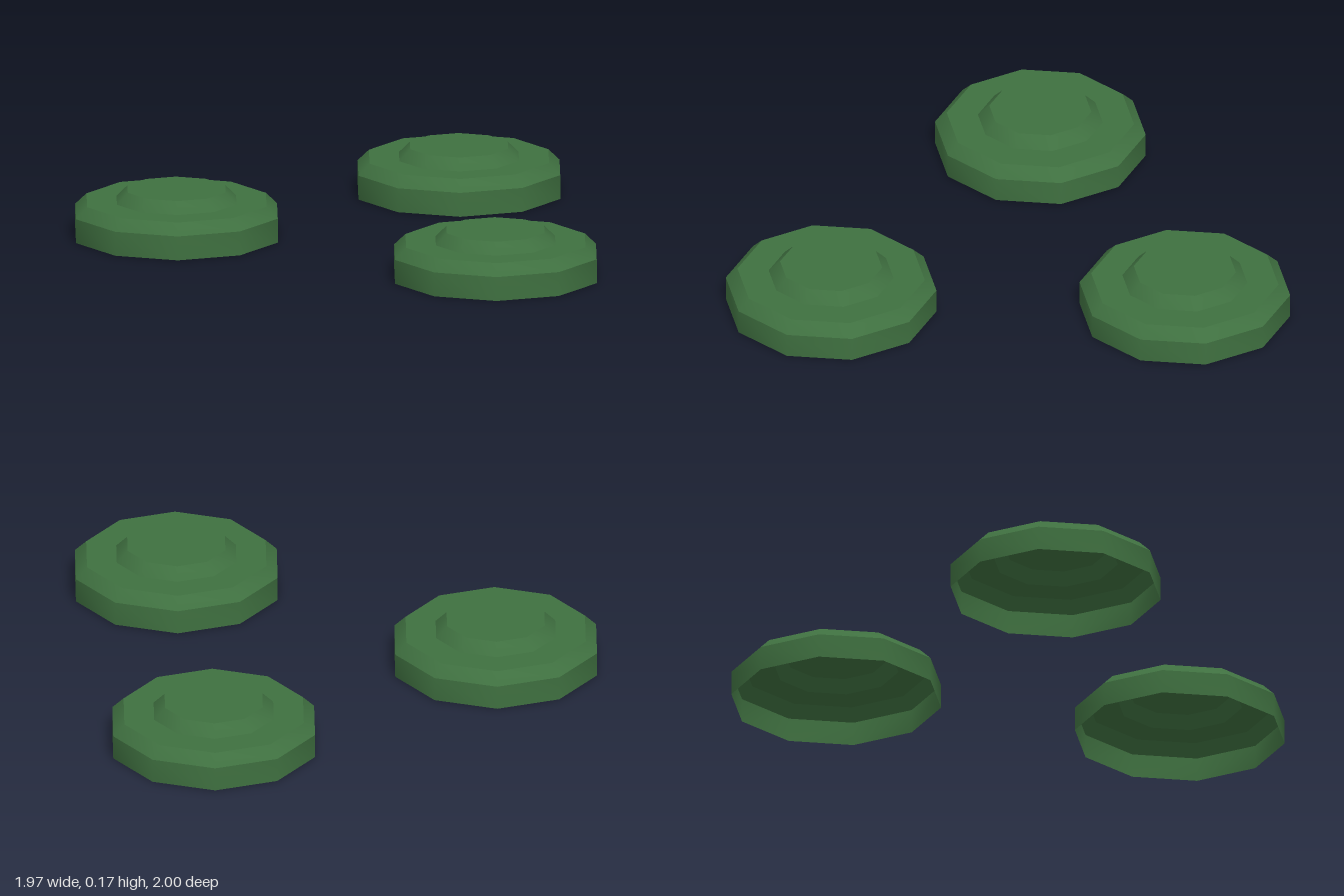
import * as THREE from 'three';
import { toCreasedNormals } from 'three/addons/utils/BufferGeometryUtils.js';

export function createModel() {
  const group = new THREE.Group();
  group.name = 'lilyPads';
  const green = new THREE.MeshStandardMaterial({ color: 0x3f7040, side: THREE.DoubleSide });

  // Stepped ten-sided shell, open underneath, with a corner on each side in x
  const profile = [
    [0.388, 0], [0.388, 0.09], [0.345, 0.132], [0.23, 0.132], [0.188, 0.174], [0, 0.174],
  ].map(([r, y]) => new THREE.Vector2(r, y));
  const lathe = new THREE.LatheGeometry(profile, 10, Math.PI / 2);
  // Smooth around each band, sharp between bands
  const shell = toCreasedNormals(lathe, 0.68);

  // Three identical pads
  const pads = [
    ['leftBackPad', 0.595, -0.631],
    ['rightPad', -0.597, -0.331],
    ['frontPad', 0.309, 0.631],
  ];
  for (const [name, x, z] of pads) {
    const pad = new THREE.Mesh(shell, green);
    pad.name = name;
    pad.position.set(x, 0, z);
    group.add(pad);
  }
  return group;
}
